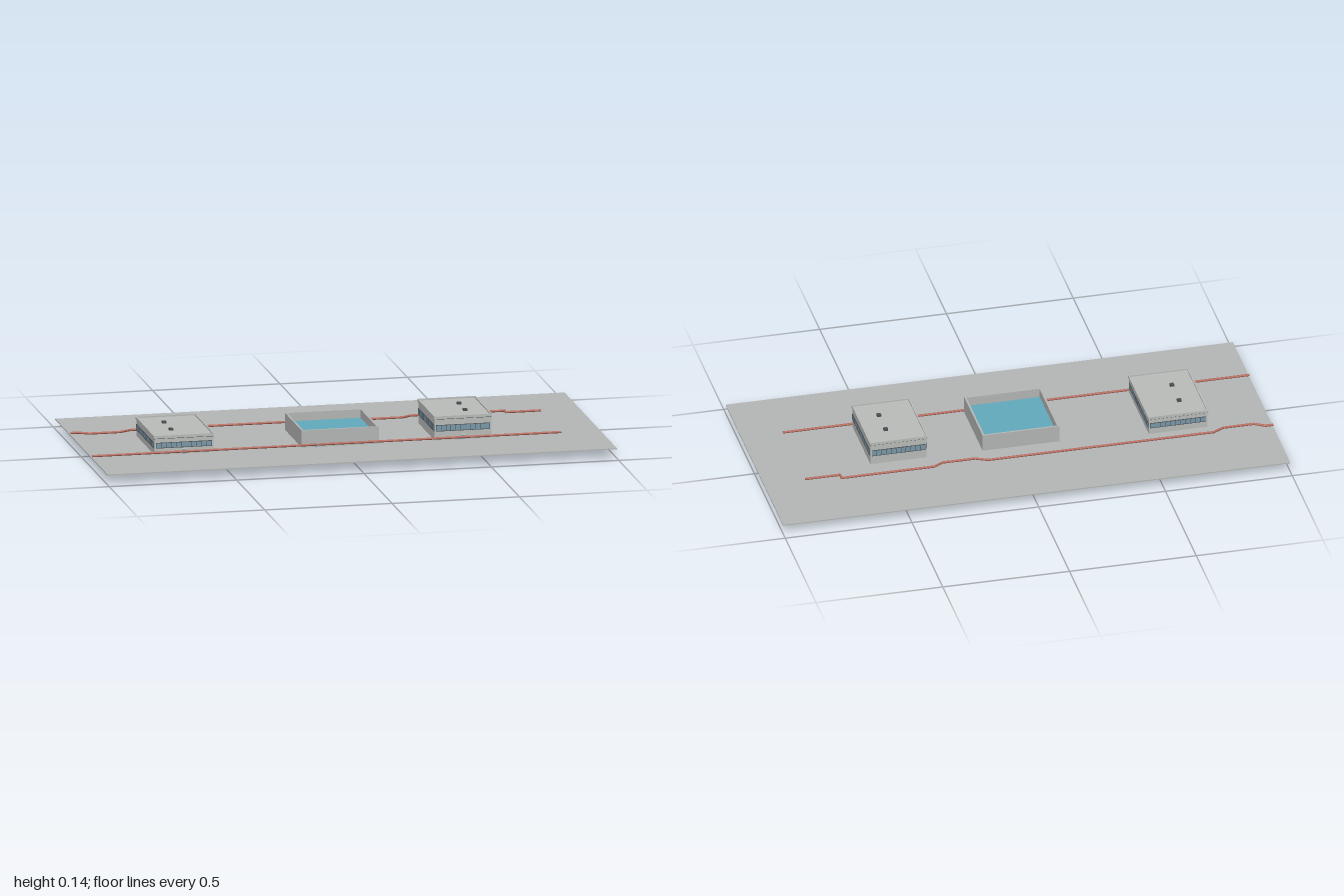
import * as THREE from 'three';

const mat = (name, color) => {
  const m = new THREE.MeshStandardMaterial({ color });
  m.name = name;
  return m;
};

export function createModel() {
  const concrete = mat('concrete', 0xb6b8b7);
  const wallGrey = mat('wall grey', 0xbcbebc);
  const glass = mat('window blue', 0x7c9aab);
  const dark = mat('dark frame', 0x4a5055);
  const water = mat('water blue', 0x62acbe);
  const pipeRed = mat('pipe red', 0xb5695b);
  const teal = mat('outlet teal', 0x4f7f8c);

  const root = new THREE.Group();
  root.name = 'waterTreatmentPlant';

  // Box given by its limits on each axis
  const box = (parent, name, m, x0, x1, y0, y1, z0, z1) => {
    const mesh = new THREE.Mesh(new THREE.BoxGeometry(x1 - x0, y1 - y0, z1 - z0), m);
    mesh.position.set((x0 + x1) / 2, (y0 + y1) / 2, (z0 + z1) / 2);
    mesh.name = name;
    parent.add(mesh);
    return mesh;
  };

  // Four walls around a rectangle, t thick, growing inward
  const ring = (parent, name, m, x0, x1, y0, y1, z0, z1, t) => {
    box(parent, name + 'Left', m, x1 - t, x1, y0, y1, z0, z1);
    box(parent, name + 'Right', m, x0, x0 + t, y0, y1, z0, z1);
    box(parent, name + 'Front', m, x0 + t, x1 - t, y0, y1, z1 - t, z1);
    box(parent, name + 'Back', m, x0 + t, x1 - t, y0, y1, z0, z0 + t);
  };

  const GROUND = 0.04;
  const D = 0.467;

  // Ground slab in four pieces, leaving the tank pit open
  const tx0 = -0.178, tx1 = 0.125, tz0 = -0.103, tz1 = 0.197;
  const ground = new THREE.Group();
  ground.name = 'ground';
  root.add(ground);
  box(ground, 'groundRight', concrete, -1, tx0, 0.036, GROUND, -D, D);
  box(ground, 'groundLeft', concrete, tx1, 1, 0.036, GROUND, -D, D);
  box(ground, 'groundFront', concrete, tx0, tx1, 0.036, GROUND, tz1, D);
  box(ground, 'groundBack', concrete, tx0, tx1, 0.036, GROUND, -D, tz0);

  // Settling tank, sunk into the ground
  const tank = new THREE.Group();
  tank.name = 'tank';
  root.add(tank);
  box(tank, 'tankFooting', concrete, tx0 + 0.005, tx1 - 0.005, 0, 0.008, tz0 + 0.005, tz1 - 0.005);
  box(tank, 'tankFloor', concrete, tx0, tx1, 0.007, 0.012, tz0, tz1);
  ring(tank, 'tankWall', concrete, tx0, tx1, 0.012, 0.107, tz0, tz1, 0.008);
  box(tank, 'waterSurface', water, tx0 + 0.008, tx1 - 0.008, 0.066, 0.074, tz0 + 0.008, tz1 - 0.008);

  // Toothed overflow weir along the front wall
  const weir = new THREE.Shape();
  const teeth = 20, wx0 = tx0 + 0.01, wx1 = tx1 - 0.01, step = (wx1 - wx0) / teeth;
  weir.moveTo(wx0, 0.07);
  for (let i = 0; i < teeth; i++) {
    weir.lineTo(wx0 + i * step, 0.108);
    weir.lineTo(wx0 + (i + 0.5) * step, 0.1);
  }
  weir.lineTo(wx1, 0.108);
  weir.lineTo(wx1, 0.07);
  const weirMesh = new THREE.Mesh(
    new THREE.ExtrudeGeometry(weir, { depth: 0.002, bevelEnabled: false }), concrete);
  weirMesh.position.z = tz1 - 0.013;
  weirMesh.name = 'overflowWeir';
  tank.add(weirMesh);

  // Outlet pipe at the front of the tank
  const outlet = new THREE.Mesh(new THREE.CylinderGeometry(0.004, 0.004, 0.016, 12), teal);
  outlet.rotation.x = Math.PI / 2;
  outlet.position.set(-0.125, 0.048, 0.203);
  outlet.name = 'outletPipe';
  tank.add(outlet);

  // Flat-roofed building with a window band on all sides
  const building = (name, x0, x1, z0, z1, top, w0, w1, hatchX, hatchZs) => {
    const g = new THREE.Group();
    g.name = name;
    root.add(g);
    box(g, 'walls', wallGrey, x0, x1, GROUND, top - 0.008, z0, z1);
    const o = 0.003;
    box(g, 'eaveLine', dark, x0 - 0.001, x1 + 0.001, top - 0.013, top - 0.011, z0 - 0.001, z1 + 0.001);
    box(g, 'roofSlab', wallGrey, x0 - o, x1 + o, top - 0.011, top - 0.006, z0 - o, z1 + o);
    ring(g, 'parapet', wallGrey, x0 - o, x1 + o, top - 0.006, top, z0 - o, z1 + o, 0.005);

    const cx = (x0 + x1) / 2, cz = (z0 + z1) / 2;
    const sides = [
      [x1 - x0, z1 - cz, 0], [x1 - x0, cz - z0, Math.PI],
      [z1 - z0, x1 - cx, Math.PI / 2], [z1 - z0, cx - x0, -Math.PI / 2],
    ];
    for (const [len, dist, turn] of sides) {
      const side = new THREE.Group();
      side.name = 'windowBand';
      side.position.set(cx, 0, cz);
      side.rotation.y = turn;
      g.add(side);
      const h = len / 2 - 0.006;
      box(side, 'glazing', glass, -h, h, w0, w1, dist, dist + 0.001);
      box(side, 'sill', dark, -h, h, w0 - 0.001, w0 + 0.001, dist, dist + 0.002);
      box(side, 'lintel', dark, -h, h, w1 - 0.001, w1 + 0.001, dist, dist + 0.002);
      const n = Math.round(len / 0.021);
      for (let i = 0; i <= n; i++) {
        const x = -h + (2 * h * i) / n;
        box(side, 'mullion', dark, x - 0.0007, x + 0.0007, w0, w1, dist, dist + 0.002);
      }
    }

    // Entrance with a small canopy
    box(g, 'door', glass, cx - 0.008, cx + 0.008, GROUND, 0.058, z1, z1 + 0.002);
    box(g, 'canopy', wallGrey, cx - 0.011, cx + 0.011, 0.058, 0.061, z1, z1 + 0.011);

    // Roof vents
    for (const z of hatchZs)
      box(g, 'roofVent', dark, hatchX - 0.008, hatchX + 0.008, top - 0.006, top + 0.002, z - 0.008, z + 0.008);
  };
  building('rightBuilding', -0.755, -0.524, -0.13, 0.193, 0.115, 0.066, 0.086, -0.668, [-0.03, 0.09]);
  building('leftBuilding', 0.345, 0.567, -0.1, 0.193, 0.135, 0.076, 0.099, 0.485, [-0.01, 0.1]);

  // Pipe runs: straight cylinders with ball elbows
  const pipe = (name, points) => {
    const g = new THREE.Group();
    g.name = name;
    root.add(g);
    const r = 0.0045, y = 0.049;
    points.forEach(([x, z], i) => {
      if (i === 0) return;
      const a = new THREE.Vector3(points[i - 1][0], y, points[i - 1][1]);
      const b = new THREE.Vector3(x, y, z);
      const seg = new THREE.Mesh(new THREE.CylinderGeometry(r, r, a.distanceTo(b), 12), pipeRed);
      seg.position.copy(a).lerp(b, 0.5);
      seg.quaternion.setFromUnitVectors(new THREE.Vector3(0, 1, 0), b.clone().sub(a).normalize());
      seg.name = 'pipeSegment';
      g.add(seg);
      if (i < points.length - 1) {
        const elbow = new THREE.Mesh(new THREE.SphereGeometry(r, 12, 8), pipeRed);
        elbow.position.copy(b);
        elbow.name = 'pipeElbow';
        g.add(elbow);
      }
    });
  };
  pipe('frontPipe', [[-1, 0.197], [0.84, 0.197]]);
  pipe('backPipe', [
    [-1, -0.19], [-0.97, -0.19], [-0.93, -0.166], [-0.81, -0.166], [-0.765, -0.19],
    [0.125, -0.19], [0.17, -0.168], [0.3, -0.168], [0.335, -0.19],
    [0.703, -0.19], [0.703, -0.165], [0.84, -0.165],
  ]);

  return root;
}
